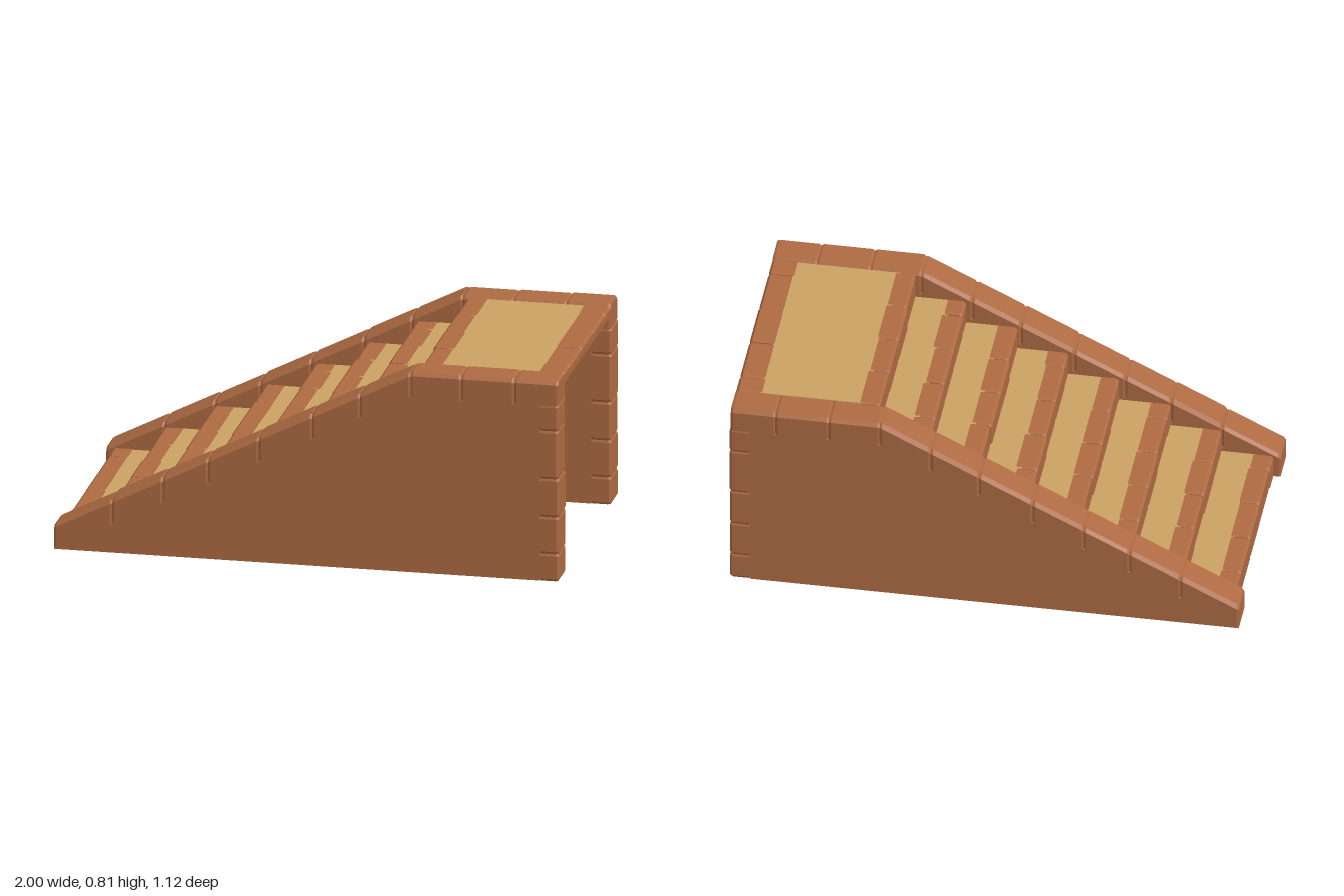
import * as THREE from 'three';
import { ConvexGeometry } from 'three/addons/geometries/ConvexGeometry.js';

const brickMat = new THREE.MeshStandardMaterial({ color: 0xad6a42 });
brickMat.name = 'clayBrick';
const treadMat = new THREE.MeshStandardMaterial({ color: 0xcaa262 });
treadMat.name = 'sandTread';

export function createModel() {
  const root = new THREE.Group();
  root.name = 'brickStaircase';

  // small repeatable unevenness
  let seed = 7;
  const jitter = (amount) => {
    seed = (seed * 16807) % 2147483647;
    return (seed / 2147483647 - 0.5) * 2 * amount;
  };

  const add = (parent, name, geometry, material) => {
    const mesh = new THREE.Mesh(geometry, material);
    mesh.name = name;
    parent.add(mesh);
    return mesh;
  };

  // brick swept from t0 to t1, its section slightly shrunk at both ends
  const brick = (parent, name, section, t0, t1, place, shrink = 0.006) => {
    const cu = section.reduce((s, p) => s + p[0], 0) / section.length;
    const cv = section.reduce((s, p) => s + p[1], 0) / section.length;
    const points = [];
    for (const [t, inset] of [[t0, shrink], [t0 + 0.009, 0], [t1 - 0.009, 0], [t1, shrink]]) {
      for (const [u, v] of section) {
        points.push(place(u - Math.sign(u - cu) * inset, v - Math.sign(v - cv) * inset, t));
      }
    }
    add(parent, name, new ConvexGeometry(points), brickMat);
  };

  // side walls: plain body, sloping cap bricks and a column of end bricks
  const wallIn = 0.422, wallOut = 0.558, capH = 0.1, bend = 0.41;
  const topAt = (x) => 0.1 + (Math.min(x, bend) + 1) * (0.712 / 1.41);
  const capSeams = [-1, -0.77, -0.57, -0.39, -0.19, 0.02, 0.21, bend, 0.61, 0.82, 0.995];
  const endSeams = [0, 0.11, 0.26, 0.415, 0.61, 0.715];

  for (const side of [1, -1]) {
    const wall = new THREE.Group();
    wall.name = side > 0 ? 'frontWall' : 'backWall';
    root.add(wall);

    const outline = new THREE.Shape([
      new THREE.Vector2(-1, 0), new THREE.Vector2(0.92, 0),
      new THREE.Vector2(0.92, 0.713), new THREE.Vector2(bend, 0.713),
    ]);
    const body = new THREE.ExtrudeGeometry(outline, { depth: wallOut - wallIn, bevelEnabled: false });
    body.translate(0, 0, side > 0 ? wallIn : -wallOut);
    add(wall, 'wallBody', body, brickMat);

    for (let i = 0; i < capSeams.length - 1; i++) {
      const lift = jitter(0.003);
      const c = 0.014;
      const section = [
        [wallIn, -capH], [wallOut, -capH], [wallOut, -c],
        [wallOut - c, lift], [wallIn + c, lift], [wallIn, -c],
      ];
      brick(wall, 'capBrick', section, capSeams[i], capSeams[i + 1],
        (z, y, x) => new THREE.Vector3(x, Math.max(0, topAt(x) + y), z * side), 0.004);
    }

    for (let i = 0; i < endSeams.length - 1; i++) {
      const end = 0.997 + jitter(0.003);
      const c = 0.008;
      const section = [
        [0.92, wallIn], [end - c, wallIn], [end, wallIn + c],
        [end, wallOut - c], [end - c, wallOut], [0.92, wallOut],
      ];
      brick(wall, 'endBrick', section, endSeams[i], endSeams[i + 1],
        (x, z, y) => new THREE.Vector3(x, y, z * side), 0.004);
    }
  }

  // row of bricks running across the stairs, in alternating bond
  const bonds = [
    [-0.424, -0.33, -0.11, 0.11, 0.33, 0.424],
    [-0.424, -0.21, 0, 0.21, 0.424],
  ];
  const brickRow = (name, x0, x1, y0, y1, bond, frontSide) => {
    const row = new THREE.Group();
    row.name = name;
    root.add(row);
    const seams = bonds[bond];
    for (let i = 0; i < seams.length - 1; i++) {
      const a = x0 + jitter(0.003), b = x1 + jitter(0.005), top = y1 + jitter(0.002);
      const c = 0.01;
      const section = frontSide < 0
        ? [[a + 0.005, y0], [b, y0], [b, top], [a + c, top], [a, top - c], [a, y0 + 0.005]]
        : [[a, y0], [b, y0], [b, top - c], [b - c, top], [a, top]];
      brick(row, 'stepBrick', section, seams[i], seams[i + 1],
        (x, y, z) => new THREE.Vector3(x, y, z), 0.004);
    }
  };

  // eight risers, each followed by a thin tread; the last tread is the landing
  const steps = 8, pitch = 0.2;
  for (let i = 0; i < steps; i++) {
    const x = -0.97 + i * pitch;
    const top = 0.1 * (i + 1) + (i === steps - 1 ? 0.008 : 0);
    const last = i === steps - 1;
    brickRow('riser', x, x + 0.077, 0.1 * i, top, i % 2, -1);
    const from = x + 0.06, to = last ? 0.91 : x + pitch + 0.012;
    const plate = new THREE.BoxGeometry(to - from, 0.006, wallIn * 2);
    plate.translate((from + to) / 2, top - 0.006, 0);
    add(root, last ? 'landing' : 'tread', plate, treadMat);
  }

  // edging at the open end of the landing
  brickRow('landingEdge', 0.897, 0.992, 0.768, 0.81, 0, 1);

  return root;
}
